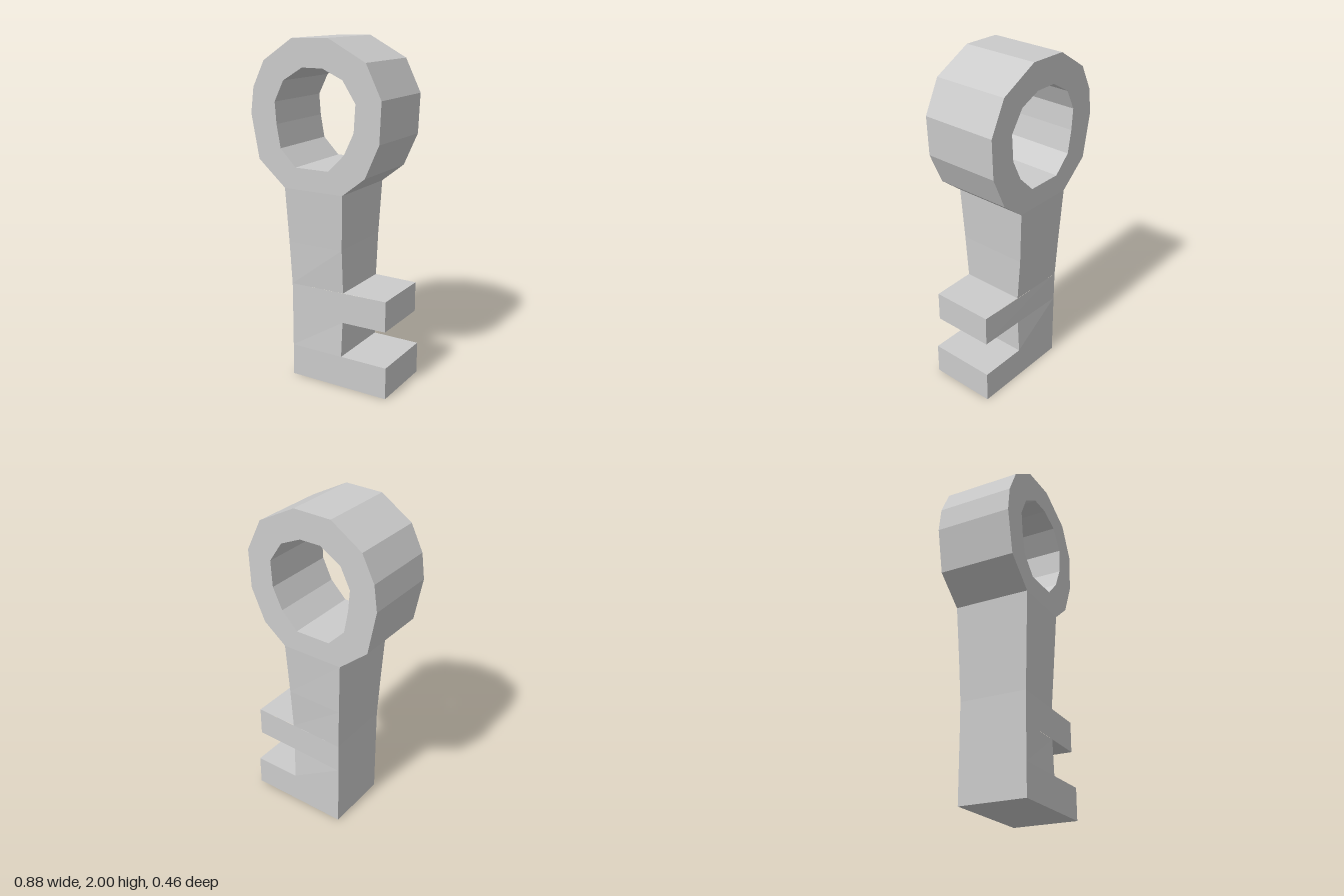
import * as THREE from 'three';

const material = new THREE.MeshStandardMaterial({ color: 0xcccccc, flatShading: true });

const points = (list) => list.map(([x, y]) => new THREE.Vector2(x, y));

// Faceted ring with a through hole
function makeBow() {
  const shape = new THREE.Shape(points([
    [0.165, 1.16], [0.305, 1.27], [0.39, 1.46], [0.4, 1.69], [0.305, 1.88], [0.075, 2],
    [-0.155, 1.995], [-0.345, 1.87], [-0.42, 1.72], [-0.44, 1.57], [-0.39, 1.31], [-0.215, 1.16],
  ]));
  shape.holes.push(new THREE.Path(points([
    [-0.14, 1.285], [-0.24, 1.385], [-0.265, 1.52], [-0.275, 1.645], [-0.215, 1.765], [-0.09, 1.84],
    [0.04, 1.84], [0.165, 1.785], [0.245, 1.665], [0.235, 1.51], [0.175, 1.385], [0.075, 1.285],
  ])));
  const geometry = new THREE.ExtrudeGeometry(shape, { depth: 0.46, bevelEnabled: false });
  geometry.translate(0, 0, -0.23);
  return geometry;
}

// Shank lofted downward through cross-sections; two rows at one height step out to a tooth
function makeShank() {
  // y, left edge x, right edge x, half depth at each edge
  const rows = [
    [1.16, -0.215, 0.165, 0.23, 0.23],
    [0.84, -0.2, 0.152, 0.215, 0.213],
    [0.58, -0.19, 0.15, 0.204, 0.194],
    [0.58, -0.19, 0.42, 0.204, 0.188],
    [0.4, -0.19, 0.42, 0.203, 0.188],
    [0.4, -0.19, 0.147, 0.203, 0.194],
    [0.19, -0.19, 0.143, 0.203, 0.203],
    [0.19, -0.19, 0.435, 0.203, 0.203],
    [0, -0.19, 0.435, 0.203, 0.203],
  ];
  // Corners: front left, front right, back right, back left
  const sections = rows.map(([y, x0, x1, d0, d1]) => [[x0, y, d0], [x1, y, d1], [x1, y, -d1], [x0, y, -d0]]);
  const positions = [];
  const quad = (a, b, c, d) => positions.push(...a, ...b, ...c, ...a, ...c, ...d);

  for (let i = 0; i < sections.length - 1; i++) {
    const top = sections[i], bottom = sections[i + 1];
    const isStep = rows[i][0] === rows[i + 1][0];
    for (let k = 0; k < 4; k++) {
      if (isStep && k !== 1) continue; // a step only has its tooth ledge
      const n = (k + 1) % 4;
      quad(bottom[k], bottom[n], top[n], top[k]);
    }
  }
  const [a, b, c, d] = sections[sections.length - 1];
  quad(d, c, b, a); // underside

  const geometry = new THREE.BufferGeometry();
  geometry.setAttribute('position', new THREE.Float32BufferAttribute(positions, 3));
  geometry.computeVertexNormals();
  return geometry;
}

export function createModel() {
  const group = new THREE.Group();
  group.name = 'key';
  const add = (name, geometry) => {
    const mesh = new THREE.Mesh(geometry, material);
    mesh.name = name;
    group.add(mesh);
  };
  add('bow', makeBow());
  add('shankWithTeeth', makeShank());
  return group;
}
